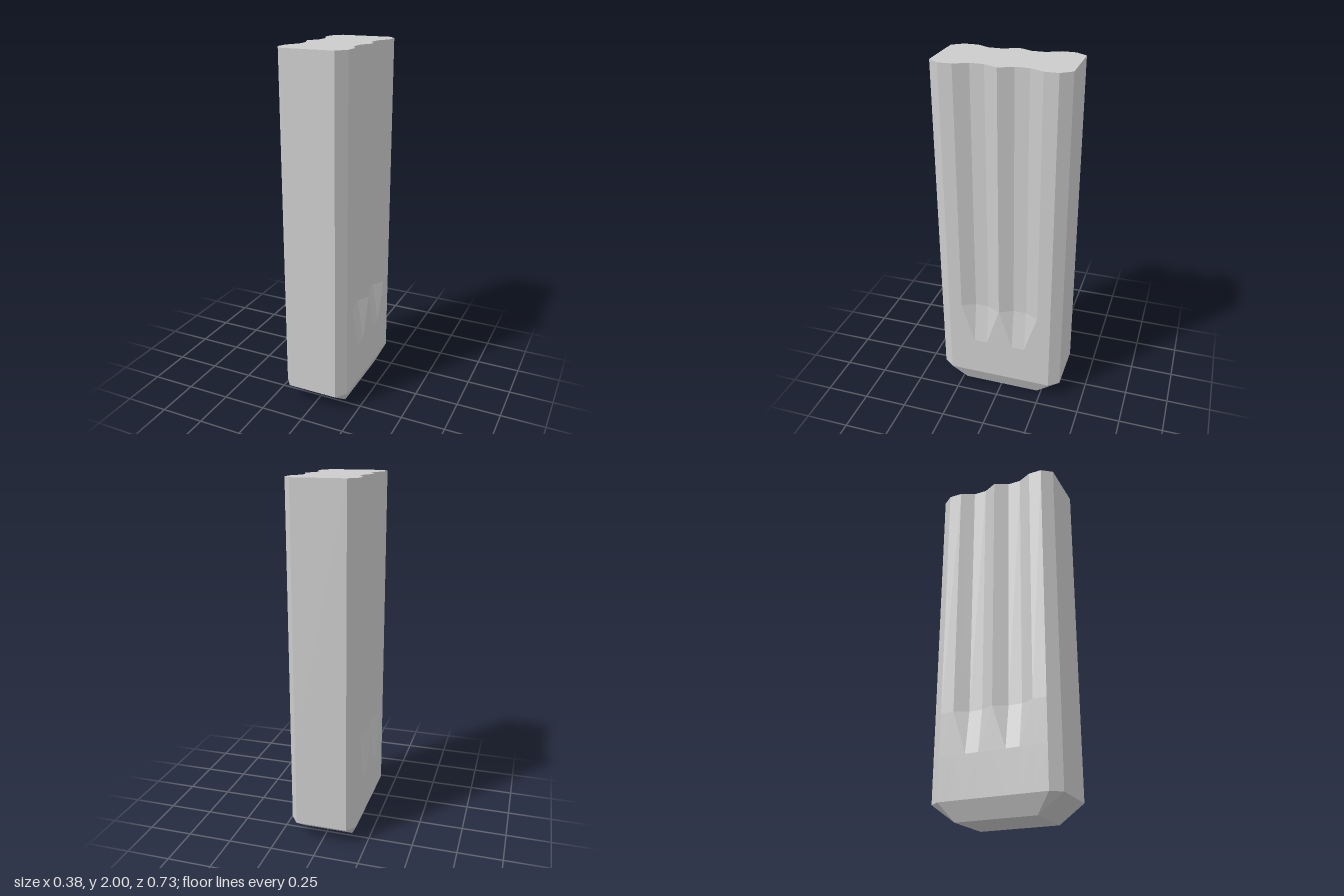
import * as THREE from 'three';

const HALF_W = 0.19, HALF_D = 0.365, GROOVE = 0.038;
const FOOT_X = 0.145, FOOT_Z = 0.226;

// Half of the outline, [x, z, groove flag]: one grooved side, then the back edge
const half = [
  ...[0.305, 0.229, 0.153, 0.077, 0, -0.077, -0.153, -0.229, -0.305]
    .map((z, i) => [HALF_W, z, [2, 3, 5, 6].includes(i) ? 1 : 0]),
  [FOOT_X, -HALF_D, 0],
  [-FOOT_X, -HALF_D, 0],
];
// The other half is the same outline turned by 180 degrees
const outline = [...half, ...half.map(([x, z, g]) => [-x, -z, g])];

// One horizontal cross-section; depth is how far the grooves cut in
const section = (y, depth) => outline.map(([x, z, g]) =>
  new THREE.Vector3(x - Math.sign(x) * g * depth, y, z));

function createBodyGeometry() {
  const foot = section(0, 0).map((p) => p.set(
    THREE.MathUtils.clamp(p.x, -FOOT_X, FOOT_X), 0,
    THREE.MathUtils.clamp(p.z, -FOOT_Z, FOOT_Z)));
  const rings = [foot, section(0.1, 0), section(0.335, 0), section(0.575, GROOVE), section(2, GROOVE)];

  const positions = [];
  const tri = (a, b, c) => {
    if (new THREE.Triangle(a, b, c).getArea() < 1e-7) return;
    for (const p of [a, b, c]) positions.push(p.x, p.y, p.z);
  };

  // Walls between successive sections
  const n = outline.length;
  for (let r = 0; r < rings.length - 1; r++) {
    for (let i = 0; i < n; i++) {
      const j = (i + 1) % n;
      const a = rings[r][i], b = rings[r][j], c = rings[r + 1][j], d = rings[r + 1][i];
      // Crease runs from the groove's rim down to the end of its floor
      if (outline[j][2] && !outline[i][2]) {
        tri(a, b, d);
        tri(b, c, d);
      } else {
        tri(a, b, c);
        tri(a, c, d);
      }
    }
  }

  // Top cap
  const top = rings[rings.length - 1];
  const flat = top.map((p) => new THREE.Vector2(p.x, -p.z));
  for (const [a, b, c] of THREE.ShapeUtils.triangulateShape(flat, [])) tri(top[a], top[b], top[c]);

  // Rectangular underside
  const corner = (sx, sz) => new THREE.Vector3(sx * FOOT_X, 0, sz * FOOT_Z);
  tri(corner(-1, -1), corner(1, -1), corner(1, 1));
  tri(corner(-1, -1), corner(1, 1), corner(-1, 1));

  const geometry = new THREE.BufferGeometry();
  geometry.setAttribute('position', new THREE.Float32BufferAttribute(positions, 3));
  geometry.computeVertexNormals();
  return geometry;
}

export function createModel() {
  const group = new THREE.Group();
  group.name = 'groovedBlock';
  const material = new THREE.MeshStandardMaterial({ color: 0xcccccc, flatShading: true });
  const body = new THREE.Mesh(createBodyGeometry(), material);
  body.name = 'groovedBody';
  group.add(body);
  return group;
}
